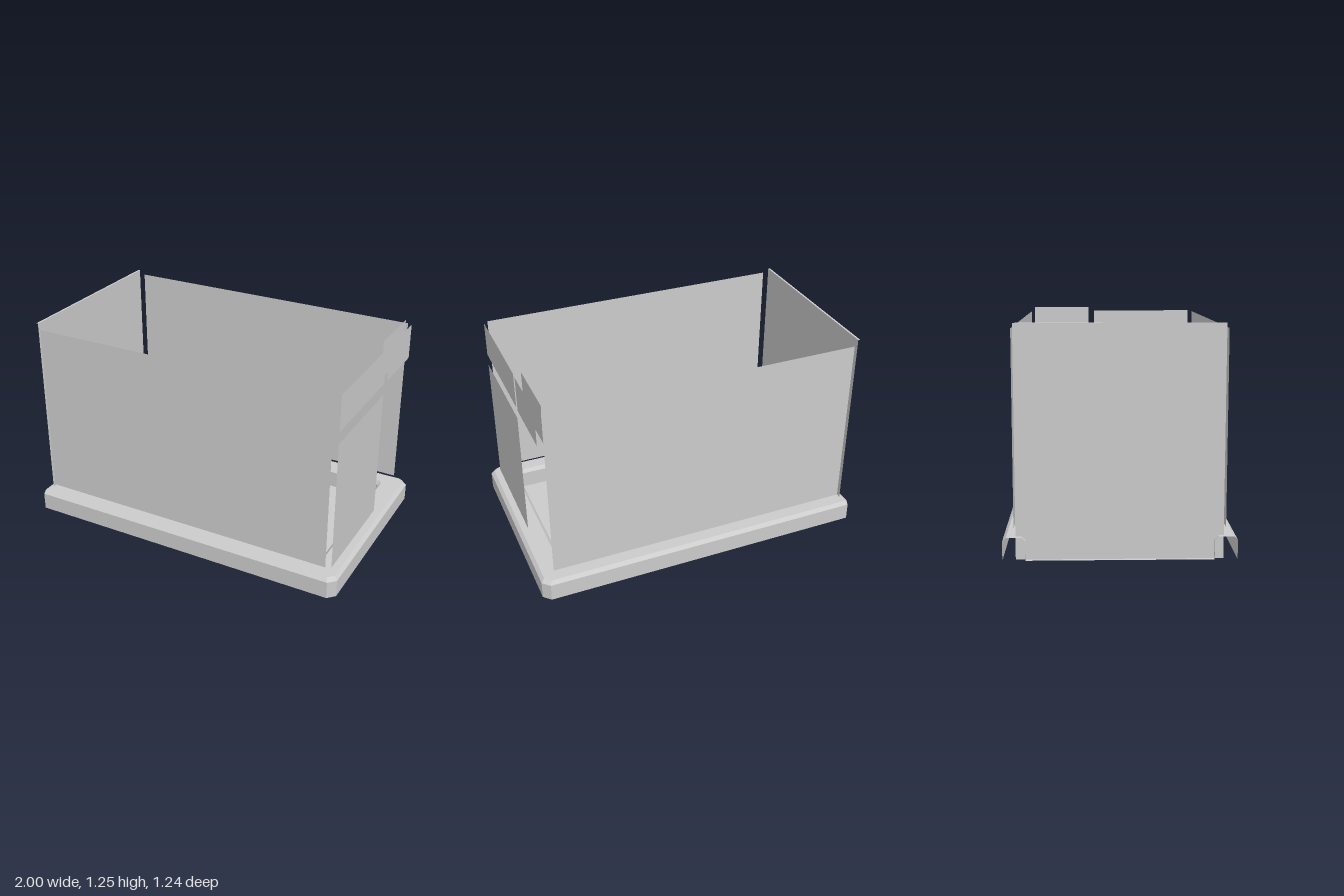
import * as THREE from 'three';

const material = new THREE.MeshStandardMaterial({
  color: 0xcccccc, flatShading: true, side: THREE.DoubleSide,
});

// Outline open at -x, with two chamfered corners at +x.
const outline = ([endX, halfZ, cut, y]) => [
  [-1, y, halfZ], [endX - cut, y, halfZ], [endX, y, halfZ - cut],
  [endX, y, cut - halfZ], [endX - cut, y, -halfZ], [-1, y, -halfZ],
];

// Skin consecutive outlines into one surface.
function skin(sections) {
  const loops = sections.map(outline);
  const pos = [];
  for (let i = 0; i < loops.length - 1; i++) {
    for (let j = 0; j < loops[i].length - 1; j++) {
      const a = loops[i][j], b = loops[i][j + 1];
      const c = loops[i + 1][j + 1], d = loops[i + 1][j];
      pos.push(...a, ...b, ...c, ...a, ...c, ...d);
    }
  }
  const g = new THREE.BufferGeometry();
  g.setAttribute('position', new THREE.Float32BufferAttribute(pos, 3));
  g.computeVertexNormals();
  return g;
}

export function createModel() {
  const group = new THREE.Group();
  const add = (name, geometry) => {
    const mesh = new THREE.Mesh(geometry, material);
    mesh.name = name;
    group.add(mesh);
    return mesh;
  };
  // Flat panel across the x axis, spanning z0..z1 and y0..y1.
  const endPanel = (name, x, z0, z1, y0, y1, facing = 1) => {
    const mesh = add(name, new THREE.PlaneGeometry(z1 - z0, y1 - y0));
    mesh.rotation.y = facing * Math.PI / 2;
    mesh.position.set(x, (y0 + y1) / 2, (z0 + z1) / 2);
  };

  // Base: hollow bevelled rim, stepping from the outer skirt to the inner well
  add('baseRim', skin([
    [1, 0.622, 0.042, 0],
    [1, 0.622, 0.042, 0.105],
    [0.98, 0.602, 0.034, 0.125],
    [0.86, 0.52, 0.025, 0.125],
    [0.84, 0.50, 0.02, 0.105],
    [0.84, 0.50, 0.02, 0],
  ]));

  // Floor of the well
  const floorShape = new THREE.Shape(
    outline([0.84, 0.50, 0.02, 0]).map(([x, , z]) => new THREE.Vector2(x, -z)));
  add('floor', new THREE.ShapeGeometry(floorShape)).rotation.x = -Math.PI / 2;

  // Long side walls
  for (const side of [1, -1]) {
    const wall = add(side > 0 ? 'frontWall' : 'backWall', new THREE.PlaneGeometry(1.87, 1.06));
    wall.position.set(-0.015, 0.69, side * 0.565);
    if (side < 0) wall.rotation.y = Math.PI;
  }

  // Closed end: full-height wall with a narrow top lip
  endPanel('endWall', -0.978, -0.553, 0.549, 0, 1.25, -1);
  const lip = add('endWallLip', new THREE.PlaneGeometry(0.012, 1.102));
  lip.rotation.x = -Math.PI / 2;
  lip.position.set(-0.984, 1.25, -0.002);

  // Entrance end: door, upper panels and a backing sheet
  endPanel('door', 0.947, -0.127, 0.54, 0.15, 0.94);
  endPanel('upperPanel', 0.947, -0.125, 0.54, 1.01, 1.225);
  endPanel('smallUpperPanel', 0.95, -0.542, -0.165, 1.01, 1.225);
  endPanel('smallUpperBacking', 0.912, -0.542, -0.165, 1.01, 1.25);

  return group;
}
